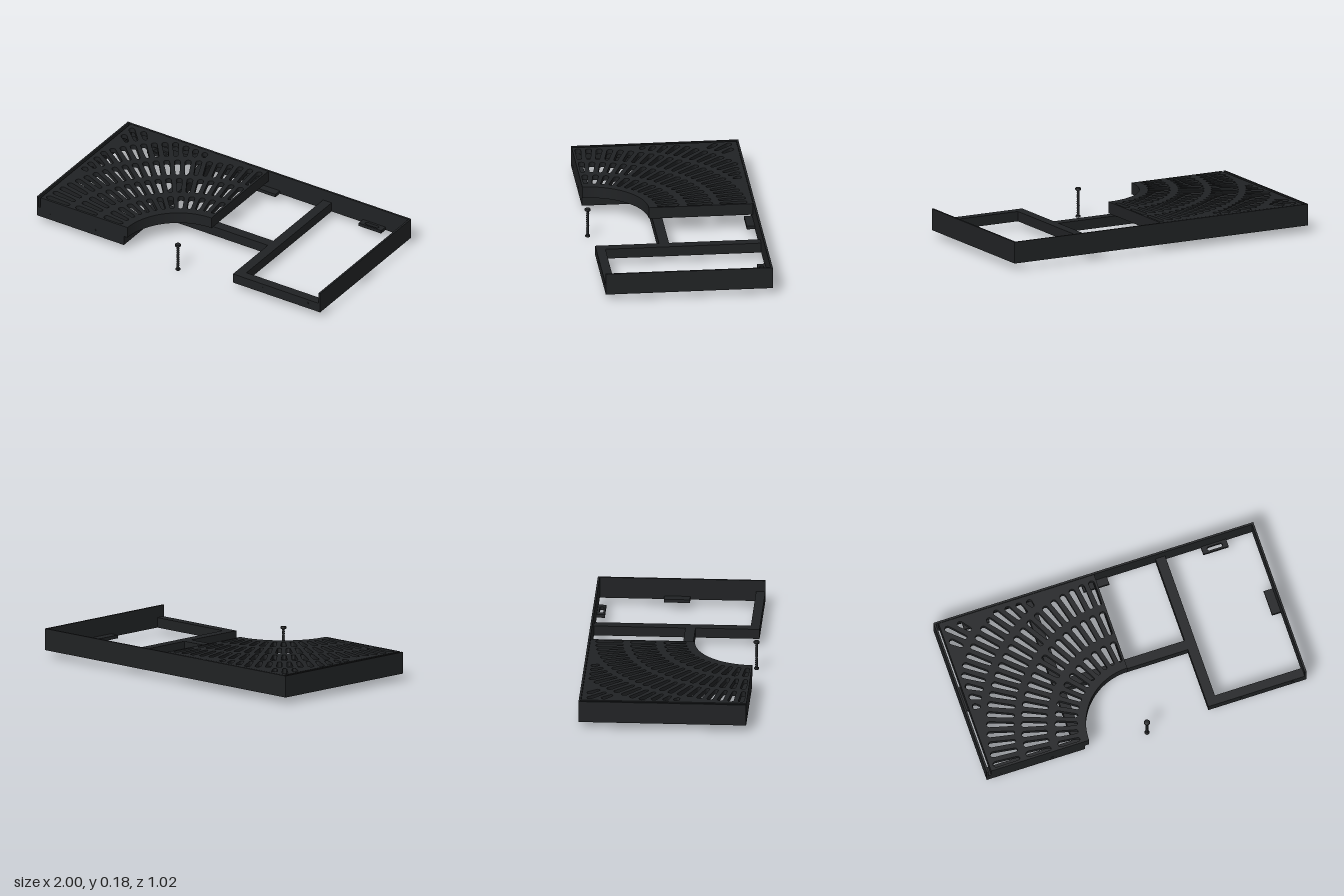
import * as THREE from 'three';

const material = new THREE.MeshStandardMaterial({ color: 0x202224 });
const FRONT = 0.485, ARC = 0.36; // front edge z, radius of the quarter cut-out

function add(parent, name, geometry) {
  const mesh = new THREE.Mesh(geometry, material);
  mesh.name = name;
  parent.add(mesh);
  return mesh;
}

// Box given by its limits on each axis
function box(parent, name, x0, x1, y0, y1, z0, z1) {
  const mesh = add(parent, name, new THREE.BoxGeometry(x1 - x0, y1 - y0, z1 - z0));
  mesh.position.set((x0 + x1) / 2, (y0 + y1) / 2, (z0 + z1) / 2);
  return mesh;
}

// Flat shape (x, -z) raised from y0 to y1
function slab(parent, name, shape, y0, y1) {
  const geometry = new THREE.ExtrudeGeometry(shape, { depth: y1 - y0, bevelEnabled: false, curveSegments: 10 });
  geometry.rotateX(-Math.PI / 2).translate(0, y0, 0);
  return add(parent, name, geometry);
}

// Grate outline, moved inward by d
function outline(d) {
  const r = ARC + d, a = Math.asin(d / r), points = [];
  for (let i = 0; i <= 32; i++) {
    const t = a + (Math.PI / 2 - 2 * a) * i / 32;
    points.push(new THREE.Vector2(-r * Math.cos(t), -FRONT + r * Math.sin(t)));
  }
  points.push(new THREE.Vector2(-d, 0.496 - d));
  points.push(new THREE.Vector2(-0.972 + d, 0.496 - d));
  points.push(new THREE.Vector2(-0.972 + d, -FRONT + d));
  return points;
}

// Tapered slot with round ends, centred on the ray at angle t
function slot(t, r0, r1, h0, h1) {
  const points = [];
  const put = (r, s) => points.push(new THREE.Vector2(
    -r * Math.cos(t) - s * Math.sin(t), -FRONT + r * Math.sin(t) - s * Math.cos(t)));
  for (const [r, h, start] of [[r0, h0, Math.PI / 2], [r1, h1, -Math.PI / 2]]) {
    for (let i = 0; i <= 6; i++) {
      const a = start + Math.PI * i / 6;
      put(r + h * Math.cos(a), h * Math.sin(a));
    }
  }
  return new THREE.Path(points);
}

function buildGrate() {
  const grate = new THREE.Group();
  grate.name = 'grate';
  const plate = new THREE.Shape(outline(0));
  // Rows of radiating slots: inner radius, outer radius, count in the quarter turn
  const rows = [[0.41, 0.545, 13], [0.59, 0.745, 18], [0.785, 0.95, 23], [0.99, 1.15, 28], [1.19, 1.34, 33]];
  for (const [inner, outer, count] of rows) {
    for (let i = 0; i < count; i++) {
      const t = (i + 0.5) / count * Math.PI / 2;
      const h0 = 0.012, h1 = 0.018;
      const limit = Math.min((0.95 - h1) / Math.cos(t), (0.955 - h1) / Math.sin(t));
      const r0 = inner + h0, r1 = Math.min(outer - h1, limit);
      if (r1 > r0 + 0.015) plate.holes.push(slot(t, r0, r1, h0, h1));
    }
  }
  slab(grate, 'slottedPlate', plate, 0.14, 0.17);
  // Skirt below the plate edge
  const skirt = new THREE.Shape(outline(0));
  skirt.holes.push(new THREE.Path(outline(0.016)));
  slab(grate, 'grateSkirt', skirt, 0.1, 0.14);
  return grate;
}

function buildFrame() {
  const frame = new THREE.Group();
  frame.name = 'frame';
  box(frame, 'backWall', -1, 1, 0.04, 0.17, -0.51, -0.498);
  box(frame, 'crossBar', -0.39, 0.39, 0.04, 0.1, 0.045, 0.105);
  for (const s of [-1, 1]) {
    const side = (name, a, b, ...rest) => box(frame, name, Math.min(s * a, s * b), Math.max(s * a, s * b), ...rest);
    side('sideWall', 0.988, 1, 0.04, 0.17, -0.498, FRONT);
    side('innerBeam', 0.385, 0.445, 0.04, 0.1, -0.498, FRONT);
    side('frontBar', 0.445, 0.988, 0.04, 0.1, 0.43, FRONT);
    side('sideTab', 0.933, 0.988, 0.04, 0.06, -0.115, 0.04);
    // Back tab with a slotted hole
    const tab = new THREE.Shape();
    const x = s * 0.747;
    tab.moveTo(x - 0.079, 0.45).lineTo(x + 0.079, 0.45).lineTo(x + 0.079, 0.498).lineTo(x - 0.079, 0.498);
    const hole = new THREE.Path();
    hole.absarc(x + 0.035, 0.473, 0.012, -Math.PI / 2, Math.PI / 2);
    hole.absarc(x - 0.035, 0.473, 0.012, Math.PI / 2, Math.PI * 1.5);
    tab.holes.push(hole);
    slab(frame, 'backTab', tab, 0.04, 0.06);
    // Small screws on the front bar
    for (const sx of [0.59, 0.91]) {
      const screw = add(frame, 'frontScrew', new THREE.CylinderGeometry(0.008, 0.008, 0.004, 12));
      screw.rotation.x = Math.PI / 2;
      screw.position.set(s * sx, 0.075, FRONT);
    }
  }
  box(frame, 'middleBackTab', -0.08, 0.08, 0.04, 0.06, -0.498, -0.45);
  return frame;
}

// Loose threaded bolt in front of the cut-out
function buildBolt() {
  const bolt = new THREE.Group();
  bolt.name = 'bolt';
  const cap = (name, r, y0, y1) => add(bolt, name, new THREE.LatheGeometry(
    [[0, y0], [r - 0.003, y0], [r, y0 + 0.003], [r, y1 - 0.003], [r - 0.003, y1], [0, y1]]
      .map(p => new THREE.Vector2(...p)), 20));
  cap('boltFoot', 0.015, 0, 0.013);
  cap('boltHead', 0.018, 0.166, 0.181);
  const profile = [];
  for (let i = 0; i <= 24; i++) profile.push(new THREE.Vector2(i % 2 ? 0.0095 : 0.0065, 0.01 + 0.16 * i / 24));
  add(bolt, 'boltShaft', new THREE.LatheGeometry(profile, 16));
  bolt.position.set(0, 0, 0.49);
  return bolt;
}

export function createModel() {
  const model = new THREE.Group();
  model.name = 'grateAssembly';
  model.add(buildFrame(), buildGrate(), buildBolt());
  return model;
}
